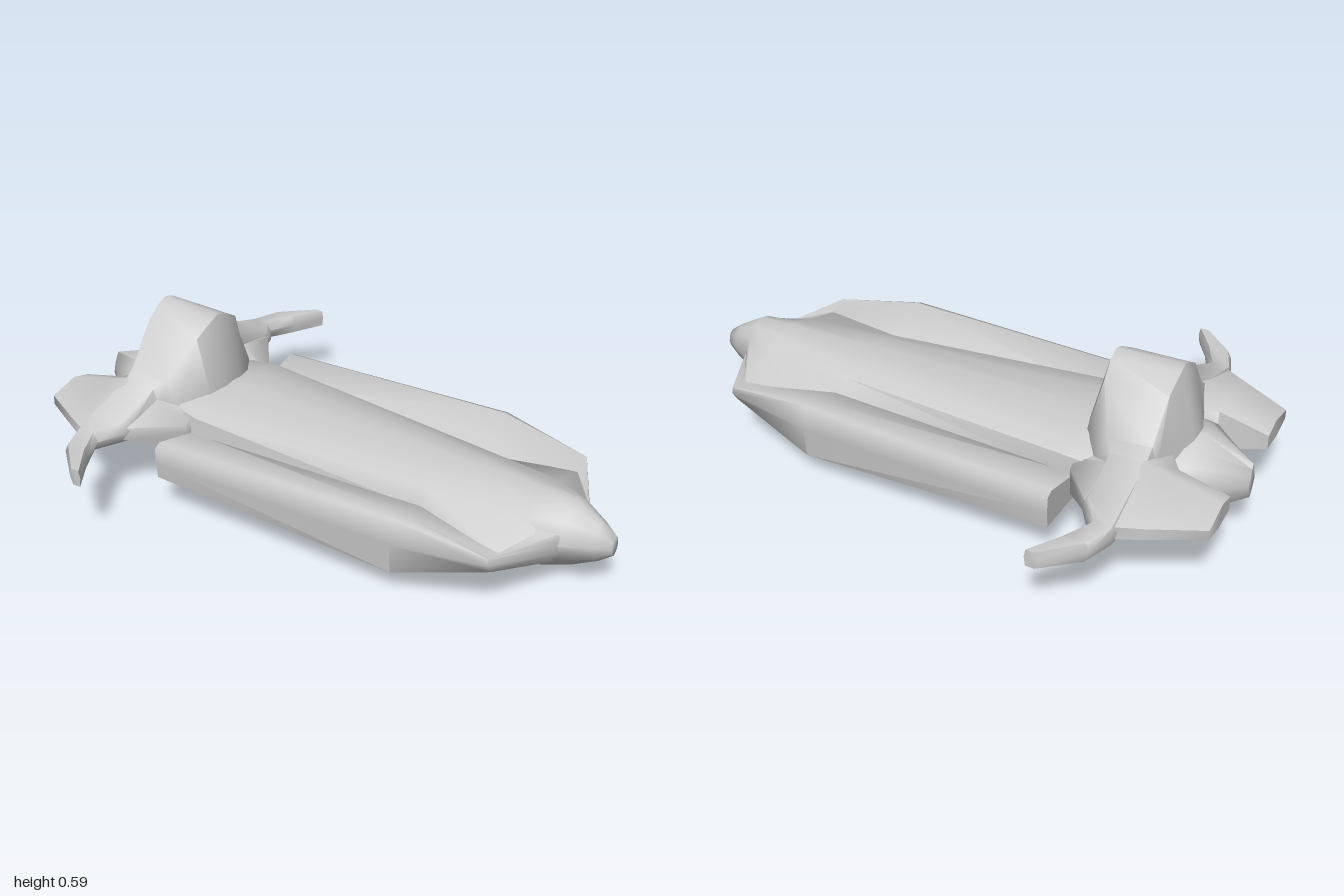
import * as THREE from 'three';
import { toCreasedNormals } from 'three/addons/utils/BufferGeometryUtils.js';

const material = new THREE.MeshStandardMaterial({ color: 0xcccccc });

// Closed skin through rings of [x, y, z] points, capped at both ends and facing outwards
function loft(rings) {
  const n = rings[0].length, faces = [];
  const average = r => [0, 1, 2].map(k => r.reduce((s, p) => s + p[k], 0) / n);
  for (let i = 0; i < rings.length - 1; i++) {
    for (let j = 0; j < n; j++) {
      const k = (j + 1) % n;
      const a = rings[i][j], b = rings[i][k], c = rings[i + 1][k], d = rings[i + 1][j];
      faces.push([a, b, c], [a, c, d]);
    }
  }
  const first = rings[0], last = rings[rings.length - 1];
  const c0 = average(first), c1 = average(last);
  for (let j = 0; j < n; j++) {
    const k = (j + 1) % n;
    faces.push([c0, first[k], first[j]], [c1, last[j], last[k]]);
  }
  const vec = p => new THREE.Vector3(...p);
  const volume = faces.reduce((s, [a, b, c]) => s + vec(a).dot(vec(b).cross(vec(c))), 0);
  if (volume < 0) faces.forEach(f => f.reverse());
  const geometry = new THREE.BufferGeometry();
  geometry.setAttribute('position', new THREE.Float32BufferAttribute(faces.flat(2), 3));
  return toCreasedNormals(geometry, 1.15);
}

function addPart(group, name, rings) {
  const mesh = new THREE.Mesh(loft(rings), material);
  mesh.name = name;
  group.add(mesh);
}

// Sections across x: [x, [[z, y], ...]]
const alongX = (sections, side = 1) => sections.map(([x, pts]) => pts.map(([z, y]) => [x, y, z * side]));

export function createModel() {
  const group = new THREE.Group();
  group.name = 'spacecraft';

  // Hull: half profiles (ridge, roof, roof edge, valley, belly, keel), mirrored into full rings
  const hull = [
    [-1.0, [[0, 0.3], [0.01, 0.285], [0.02, 0.265], [0.03, 0.23], [0.02, 0.2], [0, 0.17]]],
    [-0.83, [[0, 0.36], [0.08, 0.345], [0.14, 0.31], [0.19, 0.24], [0.15, 0.14], [0, 0.05]]],
    [-0.45, [[0, 0.34], [0.14, 0.322], [0.237, 0.3], [0.225, 0.22], [0.23, 0.13], [0, 0]]],
    [0.4, [[0, 0.325], [0.09, 0.305], [0.16, 0.28], [0.2, 0.225], [0.23, 0.135], [0, 0.04]]],
    [0.74, [[0, 0.315], [0.06, 0.295], [0.13, 0.27], [0.28, 0.222], [0.18, 0.125], [0, 0.055]]],
    [0.86, [[0, 0.31], [0.04, 0.295], [0.08, 0.265], [0.12, 0.2], [0.07, 0.12], [0, 0.06]]],
    [0.95, [[0, 0.258], [0.02, 0.25], [0.04, 0.235], [0.06, 0.19], [0.04, 0.14], [0, 0.11]]],
    [1.0, [[0, 0.22], [0.01, 0.215], [0.02, 0.205], [0.025, 0.185], [0.02, 0.165], [0, 0.15]]],
  ].map(([x, half]) => [x, [...half, ...half.slice(1, -1).reverse().map(([z, y]) => [-z, y])]]);
  addPart(group, 'hull', alongX(hull));

  // Long side pods that blend into the nose
  const pod = [
    [-0.49, [[0.21, 0.22], [0.385, 0.268], [0.41, 0.255], [0.412, 0.2], [0.405, 0.14], [0.2, 0.13]]],
    [0.42, [[0.18, 0.225], [0.36, 0.308], [0.39, 0.295], [0.395, 0.2], [0.385, 0.09], [0.2, 0.13]]],
    [0.74, [[0.18, 0.235], [0.29, 0.222], [0.35, 0.243], [0.353, 0.22], [0.33, 0.185], [0.16, 0.125]]],
    [0.86, [[0.03, 0.26], [0.09, 0.235], [0.11, 0.22], [0.12, 0.2], [0.1, 0.165], [0.03, 0.1]]],
  ];
  // Rear engine housings whose undersides run down into the hull
  const engine = [
    [-0.99, [[0.18, 0.29], [0.25, 0.31], [0.36, 0.285], [0.36, 0.25], [0.27, 0.232], [0.18, 0.24]]],
    [-0.82, [[0.18, 0.33], [0.25, 0.355], [0.45, 0.29], [0.45, 0.25], [0.29, 0.21], [0.17, 0.19]]],
    [-0.74, [[0.08, 0.36], [0.25, 0.378], [0.49, 0.295], [0.49, 0.25], [0.3, 0.2], [0.1, 0.12]]],
    [-0.61, [[0.12, 0.33], [0.25, 0.335], [0.41, 0.295], [0.41, 0.25], [0.29, 0.2], [0.15, 0.1]]],
    [-0.49, [[0.17, 0.28], [0.21, 0.28], [0.25, 0.265], [0.25, 0.24], [0.24, 0.16], [0.17, 0.11]]],
  ];
  for (const [label, side] of [['left', 1], ['right', -1]]) {
    addPart(group, label + 'Pod', alongX(pod, side));
    addPart(group, label + 'Engine', alongX(engine, side));
  }

  // Dorsal tower flowing out into swept wings: sections [z, [[x, y], ...]]
  const wing = [
    [0, [[-0.75, 0.592], [-0.52, 0.582], [-0.46, 0.33], [-0.48, 0.2], [-0.83, 0.2], [-0.82, 0.355]]],
    [0.04, [[-0.75, 0.578], [-0.52, 0.568], [-0.462, 0.33], [-0.48, 0.2], [-0.83, 0.2], [-0.815, 0.35]]],
    [0.11, [[-0.745, 0.533], [-0.53, 0.527], [-0.48, 0.32], [-0.5, 0.2], [-0.8, 0.2], [-0.79, 0.345]]],
    [0.21, [[-0.74, 0.405], [-0.59, 0.395], [-0.55, 0.3], [-0.56, 0.2], [-0.76, 0.2], [-0.76, 0.34]]],
    [0.25, [[-0.74, 0.375], [-0.62, 0.37], [-0.59, 0.29], [-0.6, 0.21], [-0.75, 0.21], [-0.755, 0.32]]],
    [0.42, [[-0.74, 0.325], [-0.625, 0.315], [-0.605, 0.28], [-0.63, 0.24], [-0.75, 0.24], [-0.755, 0.28]]],
    [0.5, [[-0.74, 0.3], [-0.68, 0.3], [-0.66, 0.27], [-0.68, 0.235], [-0.74, 0.235], [-0.75, 0.27]]],
    [0.6, [[-0.7, 0.3], [-0.63, 0.3], [-0.615, 0.27], [-0.63, 0.23], [-0.7, 0.23], [-0.715, 0.27]]],
    [0.705, [[-0.59, 0.297], [-0.56, 0.297], [-0.555, 0.27], [-0.56, 0.237], [-0.59, 0.237], [-0.6, 0.27]]],
  ];
  const span = [...wing.slice(1).reverse().map(([z, p]) => [-z, p]), ...wing];
  addPart(group, 'towerAndWings', span.map(([z, pts]) => pts.map(([x, y]) => [x, y, z])));

  return group;
}
